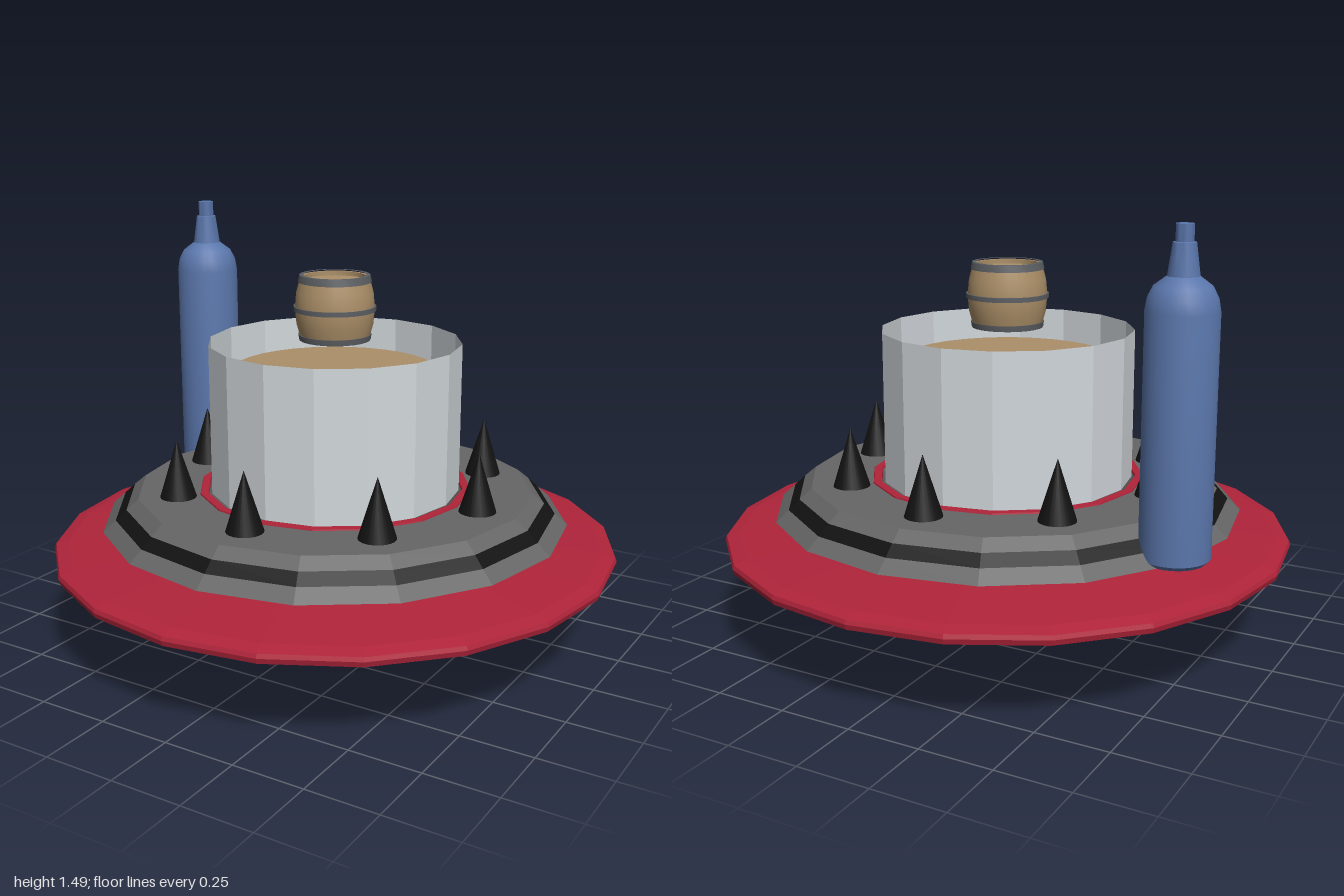
import * as THREE from 'three';
import { toCreasedNormals } from 'three/addons/utils/BufferGeometryUtils.js';

const mat = (name, color, side = THREE.FrontSide) => {
  const m = new THREE.MeshStandardMaterial({ color, side });
  m.name = name;
  return m;
};

export function createModel() {
  const red = mat('red', 0xb0243a);
  const grey = mat('grey', 0x666666);
  const black = mat('black', 0x121212);
  const shell = mat('pale grey', 0xd2d8dc, THREE.DoubleSide);
  const tan = mat('tan', 0xab8f68);
  const blue = mat('blue', 0x5a76ab);
  const teal = mat('teal', 0x6db3bb);
  const iron = mat('iron grey', 0x5c5f63);

  const model = new THREE.Group();
  const add = (name, geo, material, parent = model) => {
    const mesh = new THREE.Mesh(geo, material);
    mesh.name = name;
    parent.add(mesh);
    return mesh;
  };
  // Revolved profile of [radius, y] pairs; crease 0 gives flat facets
  const lathe = (pts, sides, crease = 0) => {
    const geo = new THREE.LatheGeometry(pts.map(([r, y]) => new THREE.Vector2(r, y)), sides);
    if (crease) return toCreasedNormals(geo, crease);
    const flat = geo.toNonIndexed();
    flat.computeVertexNormals();
    return flat;
  };

  // Hull, from the bottom upwards
  add('hullBase', lathe([[0.19, 0], [0.365, 0.08]], 16), black);
  add('lowerHull', lathe([[0.365, 0.08], [0.62, 0.29]], 16), grey);
  add('lowerHullBand', lathe([[0.62, 0.29], [0.68, 0.308]], 16), black);
  add('rimDisc', lathe([
    [0.6, 0.307], [0.94, 0.307], [0.995, 0.32], [1, 0.338],
    [0.995, 0.352], [0.95, 0.364], [0.6, 0.392],
  ], 20), red);
  add('upperHullLower', lathe([[0.6, 0.388], [0.825, 0.435], [0.78, 0.475]], 16), grey);
  add('upperHullBand', lathe([[0.78, 0.475], [0.742, 0.51]], 16), black);
  add('upperHullTop', lathe([[0.742, 0.51], [0.7, 0.545], [0.455, 0.545], [0.32, 0.36], [0, 0.36]], 16), grey);
  add('deckTrim', lathe([[0.485, 0.543], [0.483, 0.55], [0.455, 0.55], [0.453, 0.543]], 16), red);

  // Light recessed in the open base
  add('lightHousing', lathe([[0.36, 0.076], [0.36, 0.115]], 16), shell);
  const light = add('baseLight', new THREE.CircleGeometry(0.36, 32), teal);
  light.rotation.x = Math.PI / 2;
  light.position.y = 0.115;

  // Open cabin wall with the floor set below its rim
  add('cabinWall', lathe([[0.442, 0.545], [0.442, 1.07]], 16), shell);
  add('cabinFloor', new THREE.CylinderGeometry(0.36, 0.36, 0.02, 32), tan).position.y = 0.96;

  // Ring of spikes on the deck
  const spikes = new THREE.Group();
  spikes.name = 'spikes';
  model.add(spikes);
  const spikeGeo = new THREE.ConeGeometry(0.065, 0.21, 20);
  for (let i = 0; i < 8; i++) {
    const a = (i * Math.PI) / 4;
    add('spike', spikeGeo, black, spikes).position.set(0.56 * Math.sin(a), 0.645, 0.56 * Math.cos(a));
  }

  // Rings lying against the lower hull
  for (const deg of [0, 120]) {
    const pivot = new THREE.Group();
    pivot.name = 'hullRing';
    pivot.rotation.y = THREE.MathUtils.degToRad(deg);
    model.add(pivot);
    const ring = add('ring', new THREE.TorusGeometry(0.06, 0.027, 10, 24), red, pivot);
    ring.position.set(0.542, 0.212, 0);
    ring.lookAt(0.542 + 0.635, 0.212 - 0.77, 0);
  }
  model.children.filter((c) => c.name === 'hullRing').forEach((pivot) => {
    // Orient in the pivot's own frame
    pivot.children[0].quaternion.setFromUnitVectors(
      new THREE.Vector3(0, 0, 1), new THREE.Vector3(0.635, -0.77, 0).normalize());
  });

  // Gas bottle standing on the rim
  const bottle = add('gasBottle', lathe([
    [0, 0.435], [0.1, 0.435], [0.115, 0.45], [0.115, 1.225], [0.108, 1.265], [0.09, 1.3],
    [0.05, 1.33], [0.036, 1.43], [0.028, 1.432], [0.028, 1.485], [0, 1.485],
  ], 24, 0.7), blue);
  bottle.position.set(-0.745, 0, -0.272);

  // Barrel with iron hoops
  const barrel = new THREE.Group();
  barrel.name = 'barrel';
  model.add(barrel);
  add('staves', lathe([
    [0, 1.075], [0.118, 1.075], [0.133, 1.13], [0.138, 1.185], [0.133, 1.24],
    [0.118, 1.295], [0.106, 1.295], [0.106, 1.28], [0, 1.28],
  ], 24, 0.7), tan, barrel);
  for (const [y, r0, r1, h] of [[1.085, 0.124, 0.127, 0.02], [1.185, 0.143, 0.143, 0.016], [1.288, 0.127, 0.122, 0.024]]) {
    add('hoop', lathe([[r0 - 0.014, y - h / 2], [r0, y - h / 2], [r1, y + h / 2], [r1 - 0.014, y + h / 2]], 24, 0.7), iron, barrel);
  }
  return model;
}
